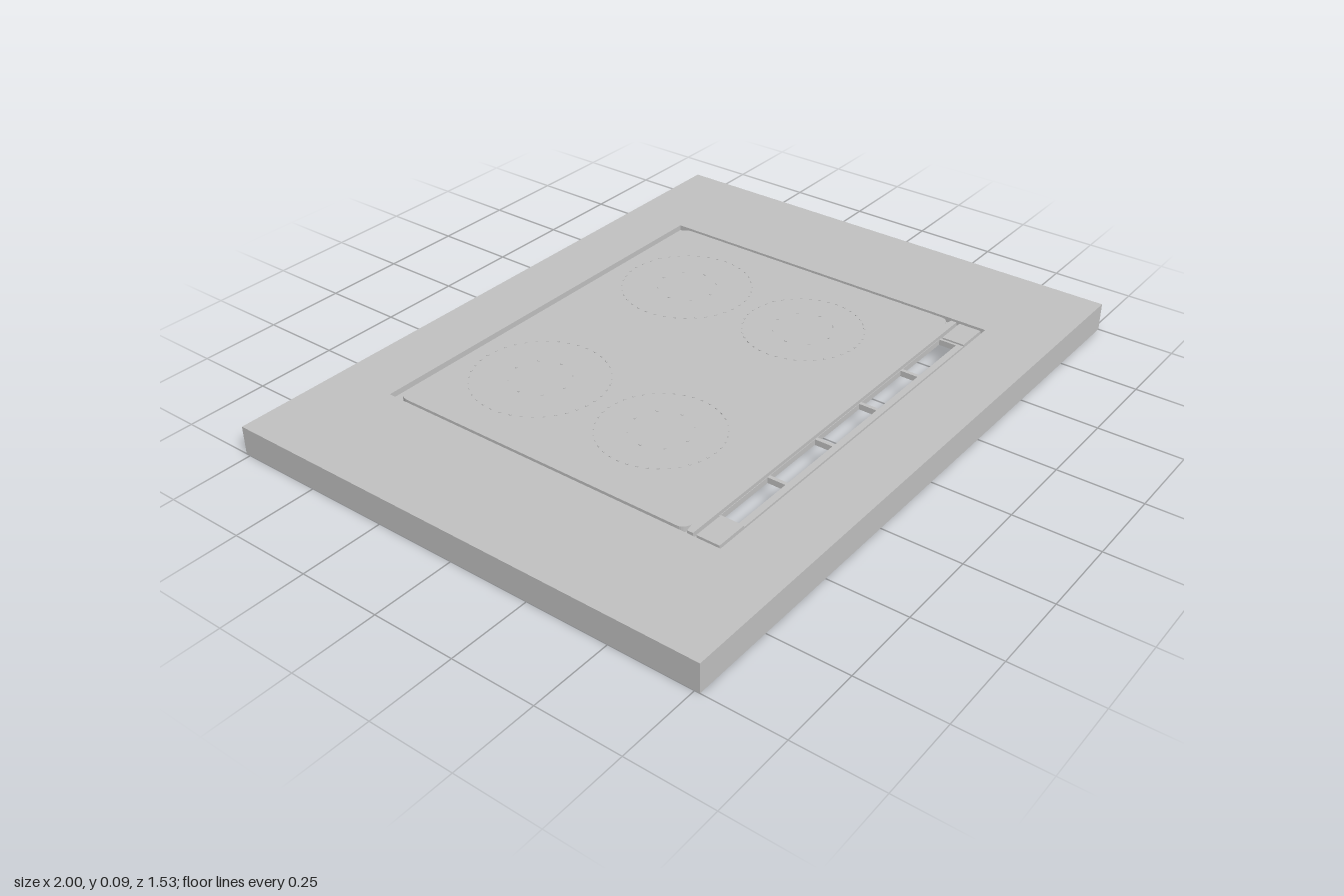
import * as THREE from 'three';
import { mergeGeometries } from 'three/addons/utils/BufferGeometryUtils.js';

const grey = new THREE.MeshStandardMaterial({ color: 0xc0c0c0 });
grey.name = 'light grey';

// Outline in plan, z measured towards the front
function rect(x0, x1, z0, z1, Type = THREE.Shape) {
  return new Type([[x0, -z1], [x1, -z1], [x1, -z0], [x0, -z0]].map(p => new THREE.Vector2(...p)));
}

// Flat slab of a plan outline between two heights
function slab(shape, y0, y1) {
  const g = new THREE.ExtrudeGeometry(shape, { depth: y1 - y0, bevelEnabled: false, curveSegments: 6 });
  return g.rotateX(-Math.PI / 2).translate(0, y0, 0);
}

export function createModel() {
  const model = new THREE.Group();
  model.name = 'worktopWithHob';
  const add = (name, geometry) => {
    const mesh = new THREE.Mesh(geometry, grey);
    mesh.name = name;
    model.add(mesh);
  };

  // Worktop with the cutout through it
  const top = rect(-1, 1, -0.765, 0.765);
  top.holes.push(rect(-0.65, 0.65, -0.57, 0.56, THREE.Path));
  add('worktop', slab(top, 0, 0.087));

  // Slots of the front vent
  const slots = () => Array.from({ length: 5 }, (_, i) => {
    const x = -0.54 + i * 0.2165;
    return rect(x, x + 0.206, 0.475, 0.53, THREE.Path);
  });

  // Base tray carrying the glass
  const tray = rect(-0.65, 0.65, -0.57, 0.56);
  tray.holes.push(...slots());
  add('baseTray', slab(tray, 0.062, 0.07));

  // Glass plate: rounded back corners, small notches near the front corners
  const glass = new THREE.Shape();
  glass.moveTo(-0.64, -0.47);
  glass.lineTo(0.64, -0.47);
  glass.lineTo(0.64, -0.452);
  glass.lineTo(0.615, -0.447);
  glass.quadraticCurveTo(0.64, -0.44, 0.64, -0.42);
  glass.lineTo(0.64, 0.51);
  glass.quadraticCurveTo(0.64, 0.55, 0.6, 0.55);
  glass.lineTo(-0.6, 0.55);
  glass.quadraticCurveTo(-0.64, 0.55, -0.64, 0.51);
  glass.lineTo(-0.64, -0.42);
  glass.quadraticCurveTo(-0.64, -0.44, -0.615, -0.447);
  glass.lineTo(-0.64, -0.452);
  add('glassPlate', slab(glass, 0.07, 0.086));

  // Vent strip with bars between the slots, and raised end blocks
  const strip = rect(-0.54, 0.54, 0.474, 0.55);
  strip.holes.push(...slots().map((s, i) => {
    const x = -0.54 + i * 0.2165;
    return rect(x + 0.0005, x + 0.2055, 0.4755, 0.53, THREE.Path);
  }));
  add('ventStrip', slab(strip, 0.07, 0.08));
  for (const s of [-1, 1]) {
    const block = new THREE.BoxGeometry(0.1, 0.015, 0.07);
    add(s < 0 ? 'rightVentEnd' : 'leftVentEnd', block.translate(s * 0.59, 0.0775, 0.515));
  }

  // Dashed cooking zone markings, each with a small inner ring
  for (const [label, z, r] of [['rear', -0.3, 0.2], ['front', 0.13, 0.18]]) {
    for (const s of [-1, 1]) {
      const dots = [];
      for (const [radius, count] of [[r, 40], [0.09, 8]]) {
        for (let i = 0; i < count; i++) {
          const a = (i / count) * Math.PI * 2;
          dots.push(new THREE.BoxGeometry(0.004, 0.002, 0.008).rotateY(-a)
            .translate(s * 0.335 + Math.cos(a) * radius, 0.087, z + Math.sin(a) * radius));
        }
      }
      add(label + (s < 0 ? 'RightZone' : 'LeftZone'), mergeGeometries(dots));
    }
  }

  // Connection plate under the middle of the tray
  add('connectionPlate', new THREE.BoxGeometry(0.2, 0.012, 0.06).translate(0, 0.057, 0));

  return model;
}
